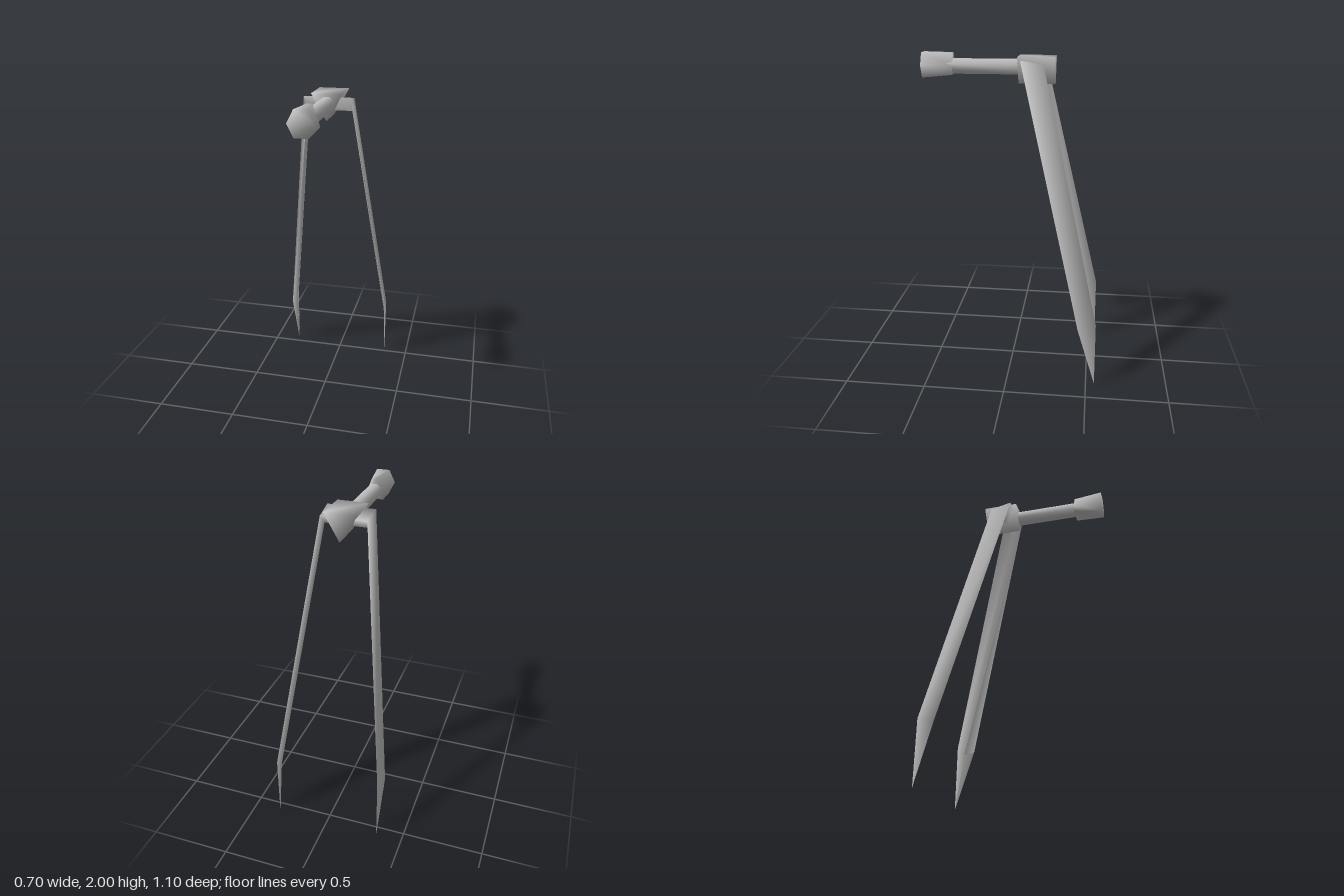
import * as THREE from 'three';

// Closed skin over matching cross-sections, with normals shared over every edge
function loft(name, rings, material) {
  const n = rings[0].length;
  const index = [];
  for (let r = 0; r < rings.length - 1; r++) {
    for (let i = 0; i < n; i++) {
      const a = r * n + i, b = r * n + (i + 1) % n;
      index.push(a, b, b + n, a, b + n, a + n);
    }
  }
  const end = (rings.length - 1) * n;
  for (let i = 1; i < n - 1; i++) {
    index.push(0, i + 1, i, end, end + i, end + i + 1);
  }
  // Turn the faces outward if the sections run the other way
  const p = rings.flat().map((v) => new THREE.Vector3(...v));
  let volume = 0;
  for (let i = 0; i < index.length; i += 3) {
    volume += p[index[i]].dot(p[index[i + 1]].clone().cross(p[index[i + 2]]));
  }
  if (volume < 0) index.reverse();
  const geometry = new THREE.BufferGeometry().setFromPoints(p);
  geometry.setIndex(index);
  geometry.computeVertexNormals();
  const mesh = new THREE.Mesh(geometry, material);
  mesh.name = name;
  return mesh;
}

// Regular polygon across the z axis
function polygon(sides, radius, y, z, start) {
  return Array.from({ length: sides }, (_, i) => {
    const a = start + (i / sides) * Math.PI * 2;
    return [radius * Math.cos(a), y + radius * Math.sin(a), z];
  });
}

export function createModel() {
  const group = new THREE.Group();
  const grey = new THREE.MeshStandardMaterial({ color: 0xbfbfbf });
  grey.name = 'grey';

  // Three-sided hub with its edge pointing down
  group.add(loft('hub', [-0.257, -0.033].map((z) =>
    polygon(3, 0.108, 1.927, z, -Math.PI / 2)), grey));

  // Barrel
  group.add(loft('barrel', [-0.1, 0.42].map((z) =>
    polygon(8, 0.048, 1.918, z, Math.PI / 8)), grey));

  // Muzzle: six-sided mouth narrowing to a peaked rear
  const section = (z, top, side, bottom) => [
    [side[0], side[1], z], [top[0], top[1], z], [-top[0], top[1], z],
    [-side[0], side[1], z], [-bottom[0], bottom[1], z], [bottom[0], bottom[1], z],
  ];
  group.add(loft('muzzle', [
    section(0.363, [0.014, 1.998], [0.045, 1.92], [0.058, 1.87]),
    section(0.55, [0.04, 2.0], [0.078, 1.925], [0.04, 1.85]),
  ], grey));

  // Crossbar and both legs: one bent three-sided bar with pointed feet
  const leg = [
    [[0.335, 0.0, -0.552], [0.334, 0.0, -0.553], [0.333, 0.0, -0.551]],
    [[0.35, 0.37, -0.44], [0.333, 0.4, -0.55], [0.326, 0.35, -0.5]],
    [[0.145, 1.96, -0.058], [0.138, 1.935, -0.195], [0.14, 1.87, -0.12]],
  ];
  const mirrored = leg.map((ring) => ring.map(([x, y, z]) => [-x, y, z])).reverse();
  group.add(loft('legsAndCrossbar', [...leg, ...mirrored], grey));

  return group;
}
